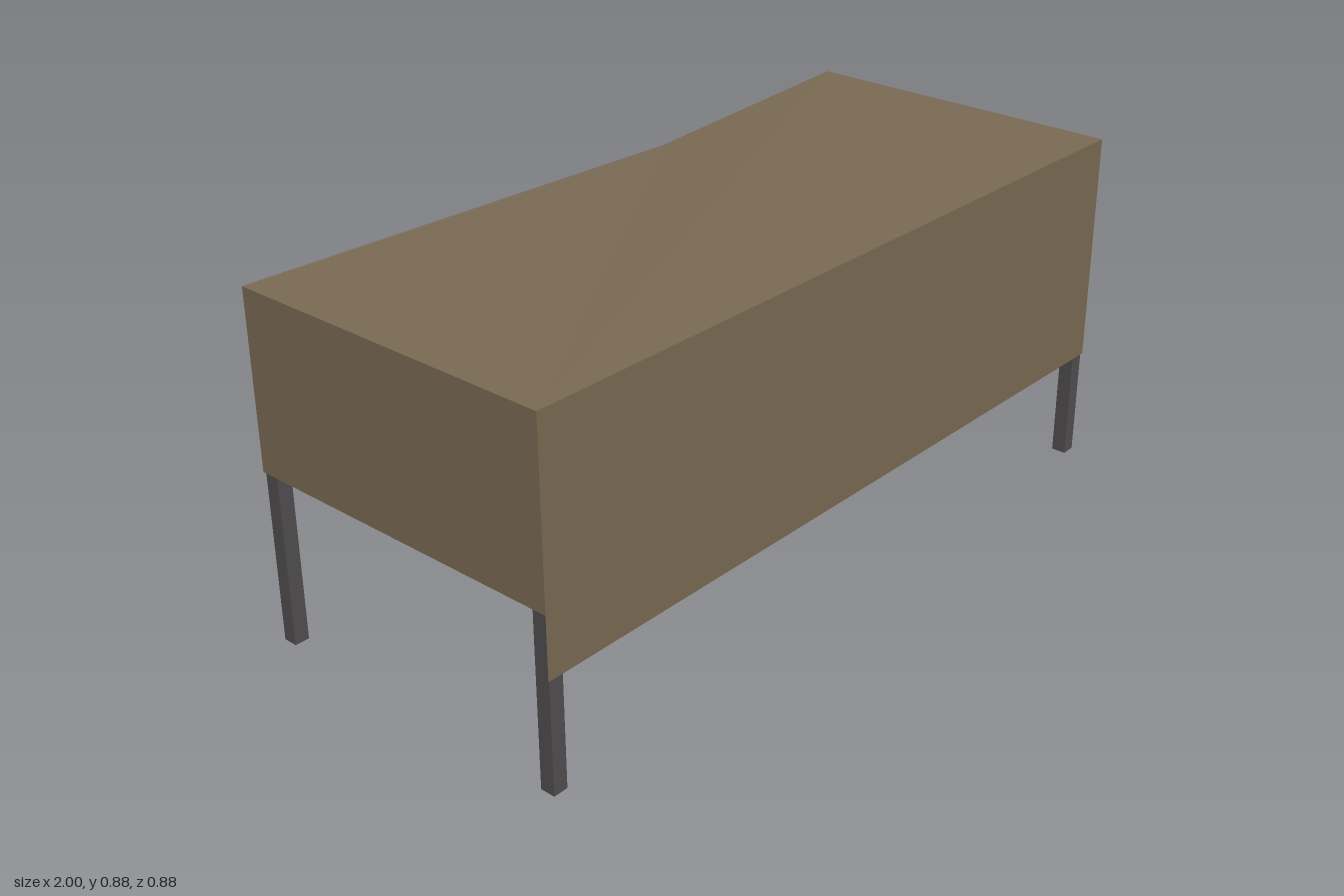
import * as THREE from 'three';

const W = 1, D = 0.44, H = 0.885, T = 0.045;      // half width, half depth, height, board thickness
const SIDE_Y = 0.44, FRONT_Y = 0.285;             // lower edges of the panels

// Vertical prism over a plan outline of [x, z] points, from y0 to y1
function prism(outline, y0, y1) {
  const shape = new THREE.Shape(outline.map(([x, z]) => new THREE.Vector2(x, -z)));
  return new THREE.ExtrudeGeometry(shape, { depth: y1 - y0, bevelEnabled: false })
    .rotateX(-Math.PI / 2).translate(0, y0, 0);
}

export function createModel() {
  const desk = new THREE.Group();
  desk.name = 'desk';
  const wood = new THREE.MeshStandardMaterial({ color: 0x7b6b54 });
  wood.name = 'brown wood';
  const metal = new THREE.MeshStandardMaterial({ color: 0x524e50 });
  metal.name = 'dark grey metal';
  const add = (name, geometry, material) => {
    const mesh = new THREE.Mesh(geometry, material);
    mesh.name = name;
    desk.add(mesh);
    return mesh;
  };

  // Top board, its back edge pulled inward and slightly down at one point
  const notch = 0.28;
  const top = prism([[-W, -D], [-W, D], [W, D], [W, -D], [notch, -0.41]], H - T, H);
  const pos = top.attributes.position;
  for (let i = 0; i < pos.count; i++) {
    if (Math.abs(pos.getX(i) - notch) > 0.001) continue;
    if (pos.getY(i) > H - T / 2) pos.setZ(i, -0.405);
    pos.setY(i, pos.getY(i) - 0.018);
  }
  top.computeVertexNormals();
  add('topBoard', top, wood);

  // Front panel with mitred ends
  add('frontPanel', prism([[-W, D], [W, D], [W - T, D - T], [-W + T, D - T]], FRONT_Y, H - T), wood);

  for (const s of [-1, 1]) {
    const side = s < 0 ? 'right' : 'left';
    // Side panel, mitred where it meets the front
    add(side + 'Panel',
      prism([[s * W, -D], [s * W, D], [s * (W - T), D - T], [s * (W - T), -D]], SIDE_Y, H - T), wood);

    // Square legs
    for (const z of [-1, 1]) {
      add(side + (z > 0 ? 'FrontLeg' : 'BackLeg'), new THREE.BoxGeometry(0.038, SIDE_Y, 0.038), metal)
        .position.set(s * 0.976, SIDE_Y / 2, z * 0.418);
    }
  }
  return desk;
}
